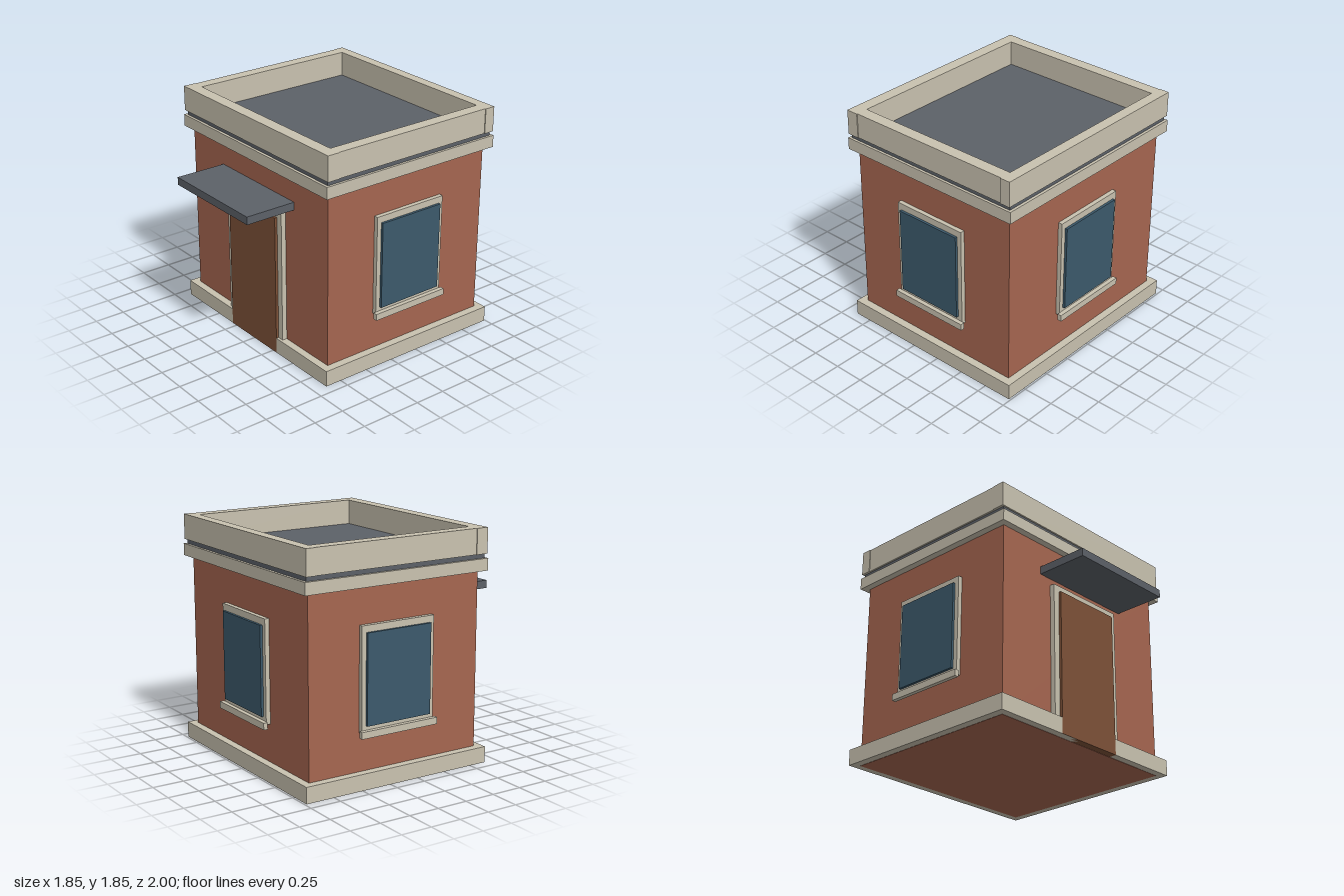
import * as THREE from 'three';

const mat = (name, color) => {
  const m = new THREE.MeshStandardMaterial({ color });
  m.name = name;
  return m;
};

export function createModel() {
  const brick = mat('brick', 0xa66650);
  const stone = mat('stone', 0xc9c2b0);
  const slate = mat('slate', 0x5c6168);
  const wood = mat('doorWood', 0x7d5138);
  const glass = mat('windowGlass', 0x3c5a6c);

  const model = new THREE.Group();
  model.name = 'building';
  const CZ = -0.174; // centre of the house, the awning reaches further forward

  // Box given by its extents on each axis
  const box = (parent, name, material, [x0, x1], [y0, y1], [z0, z1]) => {
    const mesh = new THREE.Mesh(new THREE.BoxGeometry(x1 - x0, y1 - y0, z1 - z0), material);
    mesh.position.set((x0 + x1) / 2, (y0 + y1) / 2, (z0 + z1) / 2);
    mesh.name = name;
    parent.add(mesh);
    return mesh;
  };

  const house = new THREE.Group();
  house.name = 'house';
  house.position.z = CZ;
  model.add(house);

  // Stacked tiers: half width, half depth, bottom, top
  const tiers = [
    ['walls', brick, 0.858, 0.753, 0, 1.54],
    ['plinth', stone, 0.922, 0.814, 0.002, 0.13],
    ['cornice', stone, 0.914, 0.807, 1.52, 1.615],
    ['roofSlab', slate, 0.894, 0.785, 1.615, 1.65],
  ];
  for (const [name, m, w, d, y0, y1] of tiers) box(house, name, m, [-w, w], [y0, y1], [-d, d]);

  // Parapet: full-width front and back, slightly inset sides
  const py = [1.65, 1.85];
  box(house, 'parapetFront', stone, [-0.914, 0.914], py, [0.698, 0.798]);
  box(house, 'parapetBack', stone, [-0.914, 0.914], py, [-0.798, -0.712]);
  box(house, 'parapetLeft', stone, [0.811, 0.908], py, [-0.712, 0.698]);
  box(house, 'parapetRight', stone, [-0.908, -0.811], py, [-0.712, 0.698]);

  // Door, its surround and the awning
  const entrance = new THREE.Group();
  entrance.name = 'entrance';
  entrance.position.z = 0.753;
  house.add(entrance);
  box(entrance, 'doorFrame', stone, [-0.35, 0.35], [0.01, 1.207], [-0.01, 0.04]);
  box(entrance, 'door', wood, [-0.298, 0.298], [0.002, 1.155], [0, 0.062]);
  box(entrance, 'awning', slate, [-0.457, 0.457], [1.262, 1.325], [-0.005, 0.421]);

  // Window facing +z, turned onto each of the three other walls
  const addWindow = (name, x, z, turn) => {
    const g = new THREE.Group();
    g.name = name;
    box(g, 'windowFrame', stone, [-0.32, 0.32], [0.43, 1.238], [-0.01, 0.035]);
    box(g, 'windowPane', glass, [-0.283, 0.283], [0.485, 1.186], [0.02, 0.055]);
    box(g, 'windowSill', stone, [-0.34, 0.34], [0.4, 0.453], [0.035, 0.069]);
    g.position.set(x, 0, z);
    g.rotation.y = turn;
    house.add(g);
  };
  addWindow('leftWindow', 0.858, 0, Math.PI / 2);
  addWindow('rightWindow', -0.858, 0, -Math.PI / 2);
  addWindow('backWindow', 0, -0.753, Math.PI);

  return model;
}
